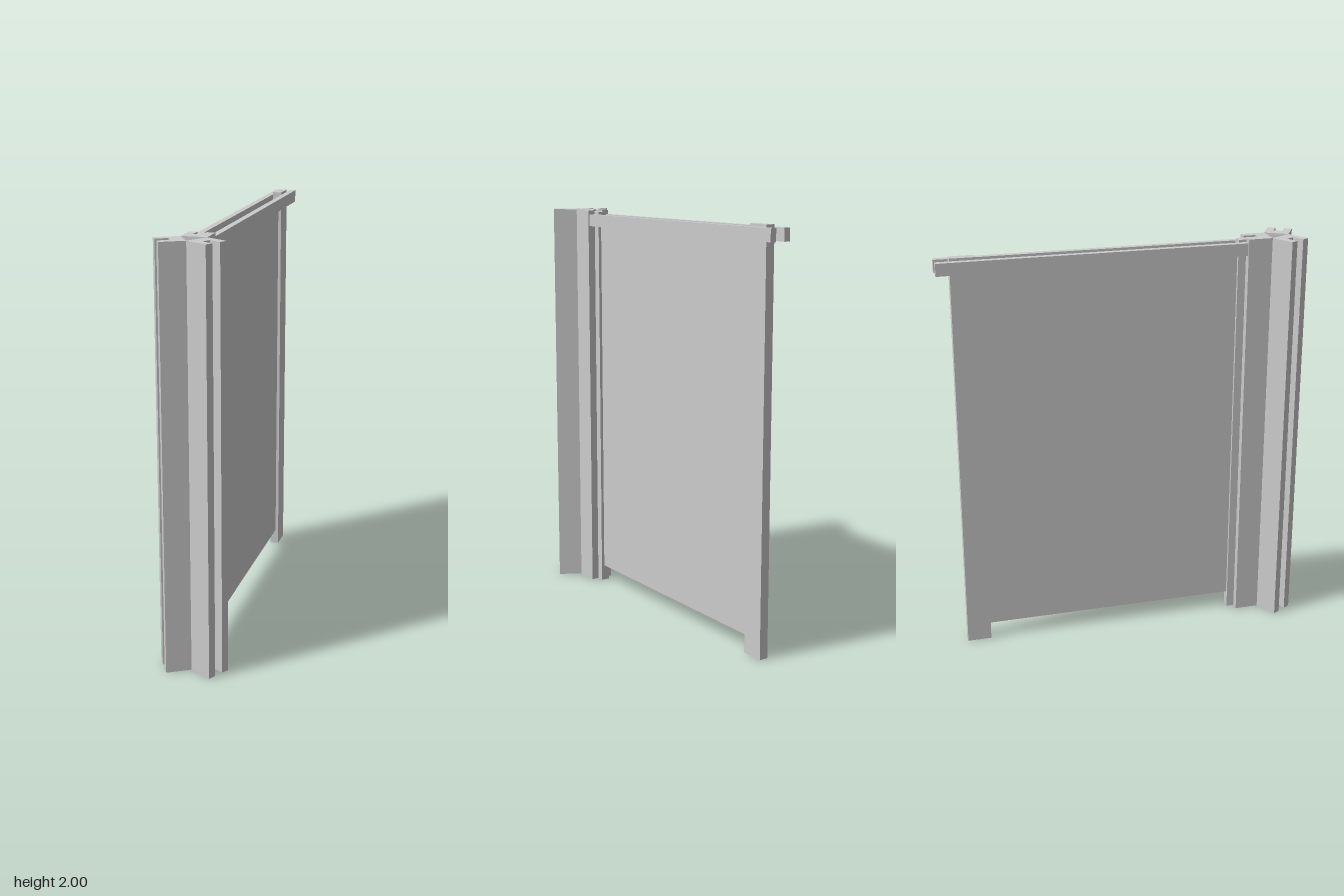
import * as THREE from 'three';

const material = new THREE.MeshStandardMaterial({ color: 0xcccccc, flatShading: true });

// Box given by its extents along each axis
function box(name, [x0, x1], [y0, y1], [z0, z1]) {
  const mesh = new THREE.Mesh(new THREE.BoxGeometry(x1 - x0, y1 - y0, z1 - z0), material);
  mesh.position.set((x0 + x1) / 2, (y0 + y1) / 2, (z0 + z1) / 2);
  mesh.name = name;
  return mesh;
}

// Three slotted square channels set on the sides of an empty triangular core
function createPost() {
  const post = new THREE.Group();
  post.name = 'threeWayPost';
  const side = 0.1195, h = side / 2, slot = 0.022, depth = 0.061;
  const inner = side / (2 * Math.sqrt(3)), outer = inner + side;
  const profile = new THREE.Shape([
    [-h, inner], [h, inner], [h, outer], [slot, outer],
    [slot, outer - depth], [-slot, outer - depth], [-slot, outer], [-h, outer],
  ].map(([x, y]) => new THREE.Vector2(x, y)));
  const geometry = new THREE.ExtrudeGeometry(profile, { depth: 2, bevelEnabled: false });
  geometry.rotateX(-Math.PI / 2);
  ['panelChannel', 'leftChannel', 'rightChannel'].forEach((name, i) => {
    const channel = new THREE.Mesh(geometry, material);
    channel.name = name;
    channel.rotation.y = -i * Math.PI * 2 / 3;
    // k = 1 swings towards the right side of the model, k = 2 towards the left
    if (i > 0) channel.rotation.y *= -1;
    if (i === 1) channel.rotation.y = Math.PI * 4 / 3;
    if (i === 2) channel.rotation.y = Math.PI * 2 / 3;
    post.add(channel);
  });
  post.position.z = 0.729 + inner;
  return post;
}

export function createModel() {
  const model = new THREE.Group();
  model.name = 'partitionPanel';
  model.add(createPost());

  // Upright stiles and the thin panel held between them
  model.add(box('frontStile', [-0.022, 0.022], [0, 1.992], [0.571, 0.671]));
  model.add(box('backStile', [-0.022, 0.022], [0, 1.992], [-0.82, -0.702]));
  model.add(box('panel', [-0.007, 0.007], [0.08, 1.92], [-0.705, 0.575]));

  // Pair of top rails clamping the stiles and passing into the post
  model.add(box('leftRail', [0.023, 0.053], [1.92, 1.98], [-0.888, 0.753]));
  model.add(box('rightRail', [-0.053, -0.023], [1.92, 1.98], [-0.888, 0.753]));
  return model;
}
